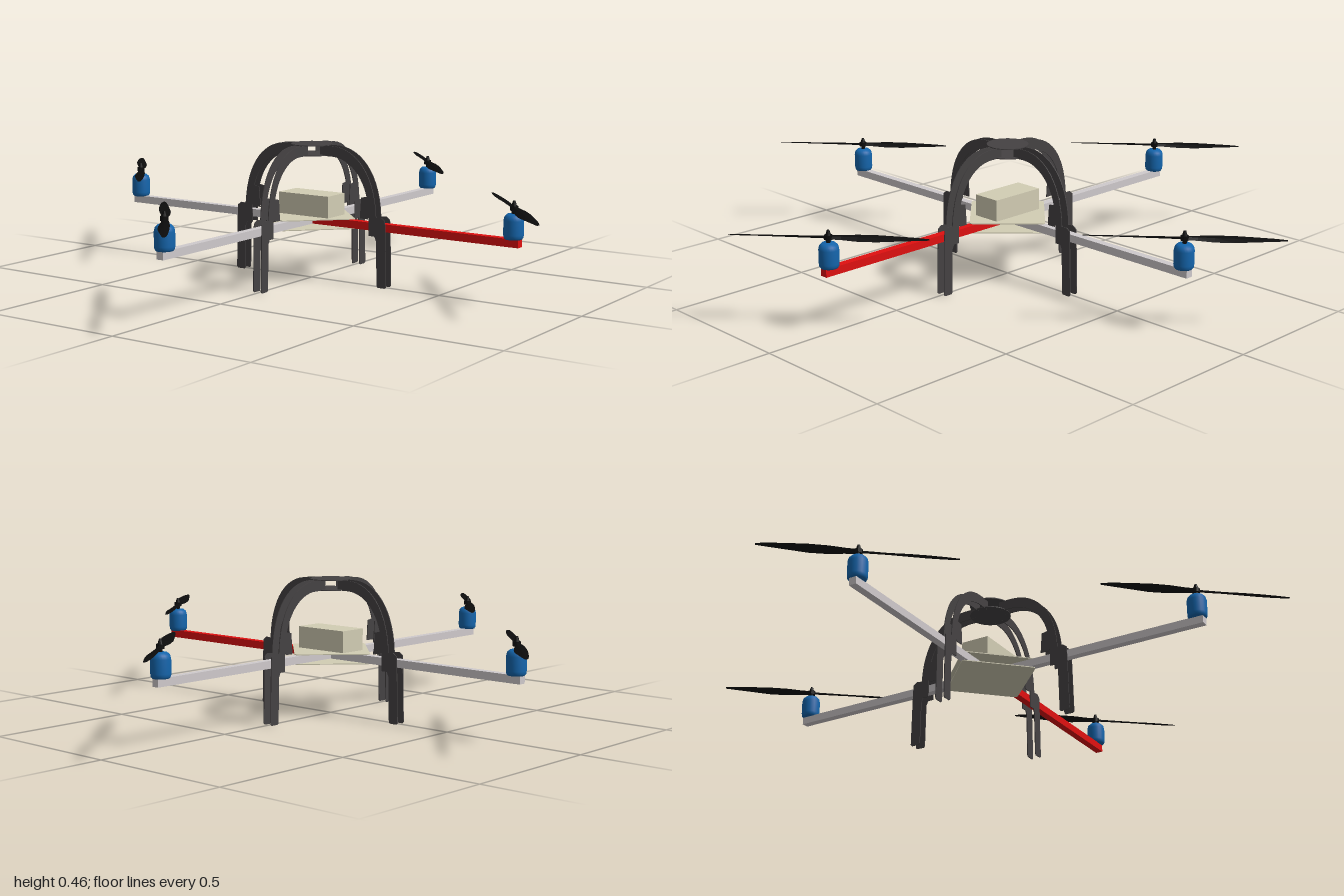
import * as THREE from 'three';

const paint = (color) => new THREE.MeshStandardMaterial({ color, side: THREE.DoubleSide, flatShading: true });
const grey = paint(0xcfcacc), red = paint(0xe01010), dark = paint(0x454243);
const cream = paint(0xd2cdb4), black = paint(0x0c0c0c);
const blue = new THREE.MeshStandardMaterial({ color: 0x1465ac, side: THREE.DoubleSide });

function add(parent, name, geometry, material, x = 0, y = 0, z = 0) {
  const mesh = new THREE.Mesh(geometry, material);
  mesh.name = name;
  mesh.position.set(x, y, z);
  parent.add(mesh);
  return mesh;
}

const polygon = (points) => new THREE.Shape(points.map(([x, y]) => new THREE.Vector2(x, y)));

// Leg outlines in the plane of their arm: arch, clamp tab and foot
function legShapes() {
  const arch = new THREE.Shape();
  arch.moveTo(0.045, 0.457);
  arch.lineTo(0.09, 0.457);
  arch.bezierCurveTo(0.185, 0.457, 0.262, 0.38, 0.268, 0.23);
  arch.lineTo(0.236, 0.23);
  arch.lineTo(0.235, 0.28);
  arch.bezierCurveTo(0.222, 0.36, 0.165, 0.422, 0.09, 0.422);
  arch.lineTo(0.045, 0.422);
  const tab = polygon([[0.205, 0.225], [0.236, 0.225], [0.236, 0.3], [0.21, 0.295]]);
  const foot = polygon([[0.24, 0.23], [0.288, 0.235], [0.302, 0.225], [0.304, 0.18], [0.308, 0.005],
    [0.303, 0], [0.276, 0], [0.272, 0.005], [0.269, 0.155], [0.262, 0.17], [0.24, 0.17]]);
  return { legArch: arch, legClamp: tab, legFoot: foot };
}

// Each leg is a pair of thin side plates straddling the arm
function buildLeg() {
  const leg = new THREE.Group();
  leg.name = 'leg';
  for (const [name, shape] of Object.entries(legShapes())) {
    const plate = new THREE.ExtrudeGeometry(shape, { depth: 0.003, bevelEnabled: false, curveSegments: 14 });
    add(leg, name, plate, dark, 0, 0, 0.014);
    add(leg, name, plate, dark, 0, 0, -0.017);
  }
  return leg;
}

// One blade along +x from diamond cross-sections, pitched and tapering to the tip
function bladeGeometry() {
  // distance, leading half-chord, trailing half-chord, pitch
  const stations = [[0, 0.01, 0.01, 0.4], [0.04, 0.011, 0.011, 0.45], [0.09, 0.016, 0.018, 0.36],
    [0.15, 0.018, 0.02, 0.28], [0.21, 0.016, 0.015, 0.2], [0.27, 0.012, 0.009, 0.14], [0.309, 0.006, 0.004, 0.1]];
  const positions = [], index = [];
  stations.forEach(([r, lead, trail, pitch], i) => {
    const thick = 0.004 * (1 - r / 0.4);
    for (const [z, y] of [[-lead, 0], [0, thick], [trail, 0], [0, -thick]]) {
      positions.push(r, y * Math.cos(pitch) - z * Math.sin(pitch), z * Math.cos(pitch) + y * Math.sin(pitch));
    }
    if (i === 0) return;
    for (let k = 0; k < 4; k++) {
      const a = (i - 1) * 4 + k, b = (i - 1) * 4 + (k + 1) % 4;
      index.push(a, b, b + 4, a, b + 4, a + 4);
    }
  });
  const end = (stations.length - 1) * 4;
  index.push(end, end + 1, end + 2, end, end + 2, end + 3);
  const geometry = new THREE.BufferGeometry();
  geometry.setAttribute('position', new THREE.Float32BufferAttribute(positions, 3));
  geometry.setIndex(index);
  geometry.computeVertexNormals();
  return geometry;
}

function buildRotor() {
  const rotor = new THREE.Group();
  rotor.name = 'rotor';
  // Motor can with rounded shoulders
  const profile = [[0, 0.213], [0.027, 0.213], [0.031, 0.219], [0.032, 0.228], [0.032, 0.272],
    [0.029, 0.284], [0.021, 0.292], [0, 0.294]].map(([r, y]) => new THREE.Vector2(r, y));
  add(rotor, 'motor', new THREE.LatheGeometry(profile, 24), blue);
  add(rotor, 'shaft', new THREE.CylinderGeometry(0.007, 0.007, 0.03, 12), black, 0, 0.3, 0);
  add(rotor, 'propellerHub', new THREE.CylinderGeometry(0.013, 0.013, 0.014, 12), black, 0, 0.31, 0);
  add(rotor, 'spinner', new THREE.CylinderGeometry(0.004, 0.009, 0.016, 12), black, 0, 0.325, 0);
  // Two opposite blades, all propellers parked at the same angle
  const blade = bladeGeometry();
  const angle = -Math.atan2(0.237, 0.2);
  for (const turn of [0, Math.PI]) {
    add(rotor, 'propellerBlade', blade, black, 0, 0.31, 0).rotation.y = angle + turn;
  }
  return rotor;
}

// Diamond deck sheet with small rounded corners, lying flat
function deckGeometry() {
  const h = 0.125, r = 0.012, s = new THREE.Shape();
  s.moveTo(-h + r, -h);
  s.lineTo(h - r, -h);
  s.quadraticCurveTo(h, -h, h, -h + r);
  s.lineTo(h, h - r);
  s.quadraticCurveTo(h, h, h - r, h);
  s.lineTo(-h + r, h);
  s.quadraticCurveTo(-h, h, -h, h - r);
  s.lineTo(-h, -h + r);
  s.quadraticCurveTo(-h, -h, -h + r, -h);
  return new THREE.ExtrudeGeometry(s, { depth: 0.003, bevelEnabled: false, curveSegments: 4 })
    .rotateZ(Math.PI / 4).rotateX(-Math.PI / 2);
}

export function createModel() {
  const model = new THREE.Group();
  model.name = 'quadcopter';

  // Centre: two deck sheets around the arms, electronics box on top
  const deck = deckGeometry();
  add(model, 'lowerDeck', deck, cream, 0, 0.184, 0);
  add(model, 'upperDeck', deck, cream, 0, 0.216, 0);
  add(model, 'electronicsBox', new THREE.BoxGeometry(0.2, 0.073, 0.1), cream, 0, 0.2555, 0);

  // Round cap where the four arches meet
  const disc = new THREE.CylinderGeometry(0.07, 0.07, 0.003, 32);
  add(model, 'capTop', disc, dark, 0, 0.457, 0);
  add(model, 'capBottom', disc, dark, 0, 0.424, 0);

  // Four arms with leg and rotor; the +x arm is red
  for (let i = 0; i < 4; i++) {
    const angle = i * Math.PI / 2;
    const side = new THREE.Group();
    side.name = 'armAssembly';
    side.rotation.y = angle;
    add(side, 'arm', new THREE.BoxGeometry(0.773, 0.026, 0.026), i === 0 ? red : grey, 0.3995, 0.201, 0);
    side.add(buildLeg());
    model.add(side);
    const rotor = buildRotor();
    rotor.position.set(0.763 * Math.cos(angle), 0, -0.763 * Math.sin(angle));
    model.add(rotor);
  }
  return model;
}
